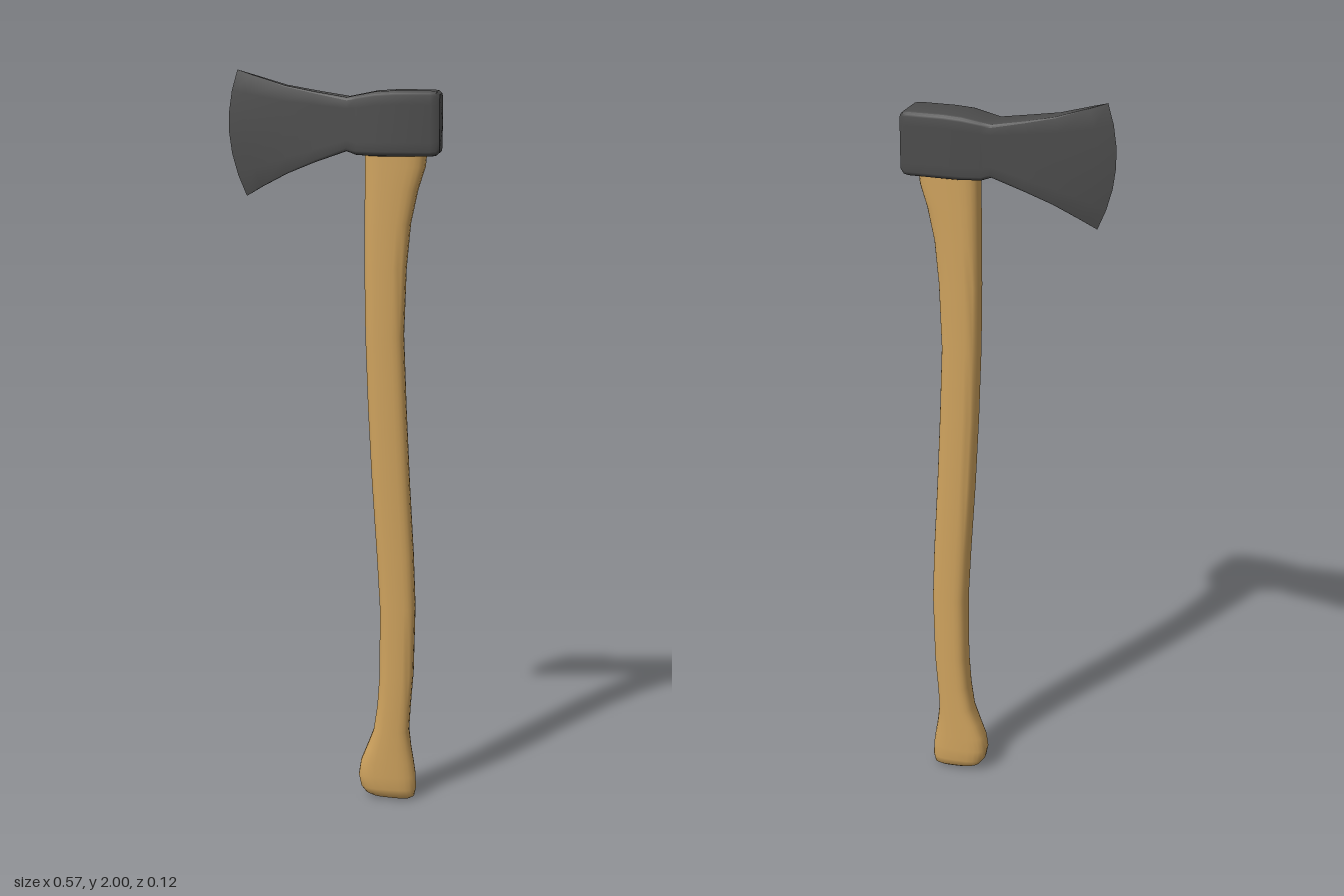
import * as THREE from 'three';
import { toCreasedNormals } from 'three/addons/utils/BufferGeometryUtils.js';

// Skins a list of closed rings (arrays of Vector3); each cap is an optional centre point.
function loft(rings, startCap, endCap, crease) {
  const n = rings[0].length;
  const pos = rings.flat().flatMap((p) => [p.x, p.y, p.z]);
  const index = [];
  for (let i = 0; i < rings.length - 1; i++) {
    for (let j = 0; j < n; j++) {
      const a = i * n + j, b = i * n + (j + 1) % n;
      index.push(a, b, a + n, b, b + n, a + n);
    }
  }
  const cap = (centre, first, flip) => {
    const c = pos.length / 3;
    pos.push(centre.x, centre.y, centre.z);
    for (let j = 0; j < n; j++) {
      const a = first + j, b = first + (j + 1) % n;
      if (flip) index.push(c, b, a); else index.push(c, a, b);
    }
  };
  if (startCap) cap(startCap, 0, true);
  if (endCap) cap(endCap, (rings.length - 1) * n, false);
  const geo = new THREE.BufferGeometry();
  geo.setAttribute('position', new THREE.Float32BufferAttribute(pos, 3));
  geo.setIndex(index);
  return toCreasedNormals(geo, crease);
}

// Handle cross-section: a rounded rectangle between xl and xr, tilted slightly in y.
function handleRing([y, xl, xr, depth, tilt = 0]) {
  const ring = [], sides = 24, hx = (xr - xl) / 2;
  const soft = (v) => Math.sign(v) * Math.pow(Math.abs(v), 0.65);
  for (let k = 0; k < sides; k++) {
    const a = (k / sides) * Math.PI * 2;
    const dx = hx * soft(Math.sin(a));
    ring.push(new THREE.Vector3((xl + xr) / 2 + dx, y - tilt * dx, depth * soft(Math.cos(a))));
  }
  return ring;
}

// Head cross-section: rounded rectangle whose x follows a bowed line from top to bottom.
function headRing([xTop, xBot, bow, yTop, yBot, h, r]) {
  const yc = (yTop + yBot) / 2, hy = (yTop - yBot) / 2;
  const half = [];
  for (let k = 0; k < 4; k++) {
    const a = (k / 3) * Math.PI / 2;
    half.push([hy - r + r * Math.cos(a), h - r + r * Math.sin(a)]);
  }
  for (const s of [0.67, 0.33]) half.push([s * (hy - r), h]);
  const side = [...half, [0, h], ...half.slice().reverse().map(([y, z]) => [-y, z])];
  const ring = [...side, ...side.slice().reverse().map(([y, z]) => [y, -z])];
  return ring.map(([y, z]) => {
    const s = y / hy;
    const x = xBot + (xTop - xBot) * (s + 1) / 2 - bow * (1 - s * s);
    return new THREE.Vector3(x, yc + y, z);
  });
}

export function createModel() {
  const model = new THREE.Group();
  model.name = 'axe';

  // Curved handle: y, left x, right x, half depth, tilt
  const handleRings = [
    [0.008, 0.105, 0.210, 0.024, 0.06],
    [0.016, 0.088, 0.222, 0.034, 0.06],
    [0.035, 0.074, 0.226, 0.039, 0.03],
    [0.07, 0.067, 0.225, 0.04],
    [0.11, 0.073, 0.219, 0.04],
    [0.15, 0.089, 0.212, 0.04],
    [0.20, 0.108, 0.206, 0.04],
    [0.27, 0.118, 0.210, 0.04],
    [0.36, 0.124, 0.217, 0.04],
    [0.55, 0.124, 0.221, 0.04],
    [0.70, 0.115, 0.215, 0.04],
    [0.90, 0.101, 0.203, 0.04],
    [1.10, 0.090, 0.193, 0.04],
    [1.30, 0.082, 0.185, 0.04],
    [1.48, 0.079, 0.191, 0.04],
    [1.60, 0.079, 0.202, 0.04],
    [1.69, 0.079, 0.221, 0.04],
    [1.75, 0.079, 0.240, 0.04],
    [1.82, 0.079, 0.247, 0.04],
  ].map(handleRing);
  const handle = new THREE.Mesh(
    loft(handleRings, new THREE.Vector3(0.157, 0.005, 0), new THREE.Vector3(0.163, 1.82, 0), 0.9),
    new THREE.MeshStandardMaterial({ color: 0xcfa35e }));
  handle.name = 'handle';

  // Head from cutting edge to poll: top x, bottom x, bow, top y, bottom y, half thickness, corner radius
  const headRings = [
    [-0.260, -0.237, 0.035, 2.000, 1.668, 0, 0],
    [-0.215, -0.195, 0.030, 1.986, 1.693, 0.012, 0.001],
    [-0.130, -0.125, 0.012, 1.960, 1.730, 0.026, 0.003],
    [-0.050, -0.050, 0, 1.945, 1.761, 0.038, 0.005],
    [0.035, 0.035, 0, 1.931, 1.791, 0.046, 0.008],
    [0.060, 0.060, 0, 1.936, 1.782, 0.050, 0.010],
    [0.110, 0.110, 0, 1.946, 1.779, 0.057, 0.012],
    [0.160, 0.160, 0, 1.949, 1.779, 0.058, 0.012],
    [0.255, 0.255, 0, 1.949, 1.779, 0.058, 0.012],
    [0.270, 0.270, 0, 1.947, 1.781, 0.055, 0.012],
    [0.279, 0.279, 0, 1.939, 1.789, 0.049, 0.012],
  ].map(headRing);
  const head = new THREE.Mesh(
    loft(headRings, null, new THREE.Vector3(0.284, 1.864, 0), 0.6),
    new THREE.MeshStandardMaterial({ color: 0x4c4c4c }));
  head.name = 'axeHead';

  model.add(handle, head);
  return model;
}
